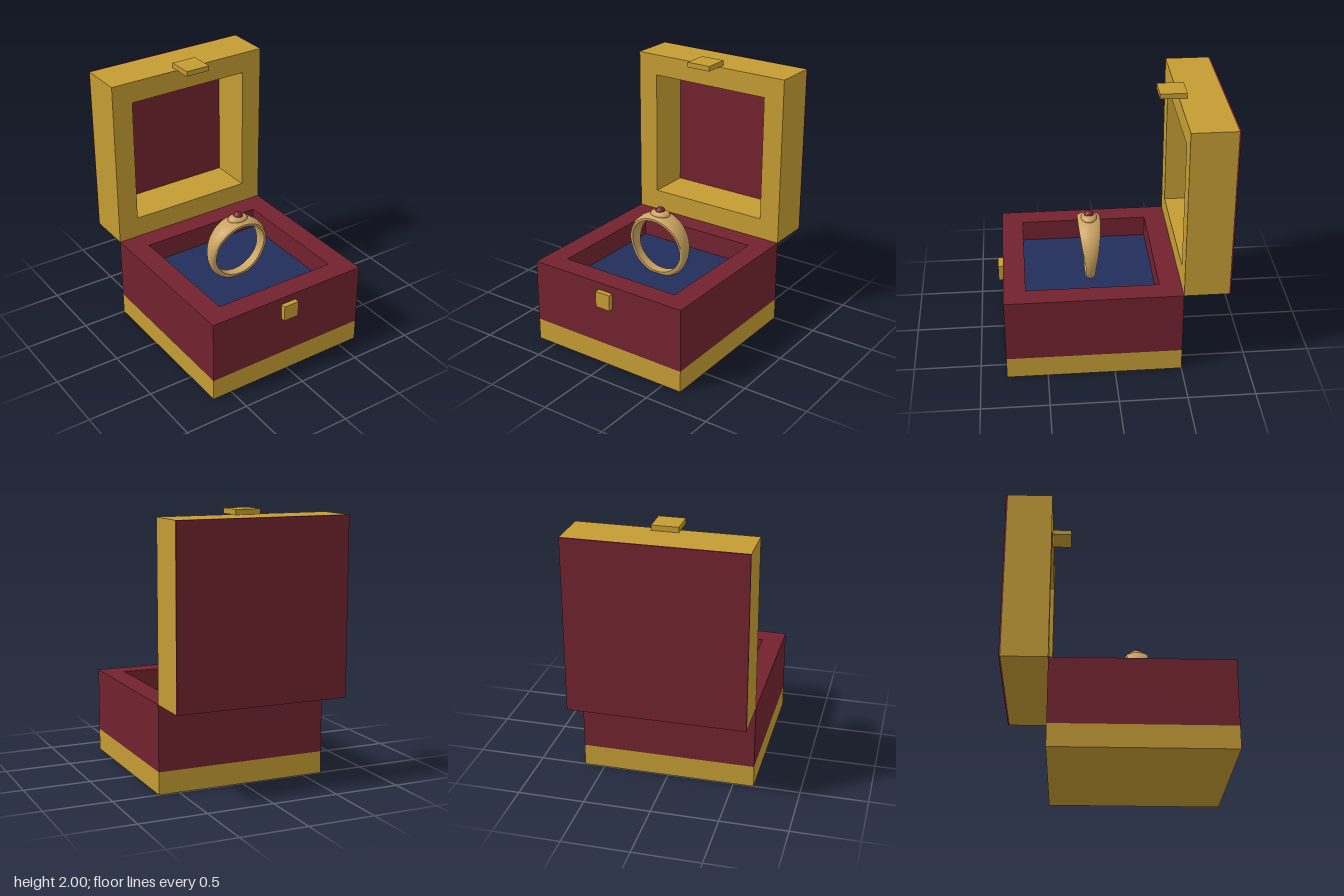
import * as THREE from 'three';
import { toCreasedNormals } from 'three/addons/utils/BufferGeometryUtils.js';

const material = (name, color) => Object.assign(new THREE.MeshStandardMaterial({ color }), { name });

// Square frame with a square opening, extruded along +z
function frameGeometry(outer, inner, depth) {
  const square = (Type, h) => new Type([[-h, -h], [h, -h], [h, h], [-h, h]].map(([x, y]) => new THREE.Vector2(x, y)));
  const shape = square(THREE.Shape, outer);
  shape.holes.push(square(THREE.Path, inner));
  return new THREE.ExtrudeGeometry(shape, { depth, bevelEnabled: false });
}

// Ring band: a domed section swept round a circle, widening towards the top
function bandGeometry() {
  const section = [[-1, 0.216], [-1, 0.233], [-0.85, 0.243], [-0.5, 0.253], [0, 0.258],
    [0.5, 0.253], [0.85, 0.243], [1, 0.233], [1, 0.216]];
  const steps = 80, n = section.length;
  const points = [], index = [];
  for (let i = 0; i < steps; i++) {
    const a = (i / steps) * Math.PI * 2;
    const halfWidth = Math.max(0.037, 0.049 + 0.037 * Math.sin(a));
    for (const [w, r] of section) points.push(r * Math.cos(a), r * Math.sin(a), w * halfWidth);
    for (let j = 0; j < n; j++) {
      const p = i * n + j, q = i * n + (j + 1) % n;
      const p2 = ((i + 1) % steps) * n + j, q2 = ((i + 1) % steps) * n + (j + 1) % n;
      index.push(p, p2, q, q, p2, q2);
    }
  }
  const geometry = new THREE.BufferGeometry();
  geometry.setAttribute('position', new THREE.Float32BufferAttribute(points, 3));
  geometry.setIndex(index);
  return toCreasedNormals(geometry, 0.7);
}

export function createModel() {
  const gold = material('box gold', 0xc49c33);
  const burgundy = material('burgundy', 0x72222e);
  const blue = material('cushion blue', 0x222d5b);
  const ringGold = material('ring gold', 0xc9a25f);
  const ruby = material('gem red', 0x74202e);

  const model = new THREE.Group();
  model.name = 'ringBox';
  const add = (name, geometry, mat, x, y, z, parent = model) => {
    const mesh = new THREE.Mesh(geometry, mat);
    mesh.name = name;
    mesh.position.set(x, y, z);
    parent.add(mesh);
    return mesh;
  };
  const box = (name, mat, [x0, x1], [y0, y1], [z0, z1]) =>
    add(name, new THREE.BoxGeometry(x1 - x0, y1 - y0, z1 - z0), mat, (x0 + x1) / 2, (y0 + y1) / 2, (z0 + z1) / 2);

  const H = 0.653, OPEN = 0.49, MID = 0.152;

  // Lower box with cushion
  box('base', gold, [-H, H], [0, 0.167], [MID - H, MID + H]);
  add('boxWalls', frameGeometry(H, OPEN, 0.488), burgundy, 0, 0.167, MID).rotation.x = -Math.PI / 2;
  box('cushion', blue, [-OPEN, OPEN], [0.167, 0.49], [MID - OPEN, MID + OPEN]);
  box('frontCatch', gold, [-0.063, 0.06], [0.477, 0.6], [0.805, 0.843]);

  // Open lid
  add('lidFrame', frameGeometry(H, OPEN, 0.329), gold, 0, 1.308, -0.83);
  box('lidPanel', burgundy, [-H, H], [0.655, 1.961], [-0.843, -0.83]);
  box('lidClasp', gold, [-0.103, 0.092], [1.961, 2], [-0.56, -0.363]);

  // Ring standing in the cushion
  const ring = new THREE.Group();
  ring.name = 'ring';
  ring.position.set(0, 0.72, 0.143);
  model.add(ring);
  add('band', bandGeometry(), ringGold, 0, 0, 0, ring);
  add('setting', new THREE.SphereGeometry(1, 32, 16), ringGold, 0.005, 0.25, 0, ring).scale.set(0.08, 0.034, 0.06);
  add('gem', new THREE.SphereGeometry(0.038, 24, 16), ruby, 0.007, 0.27, 0, ring);

  return model;
}
